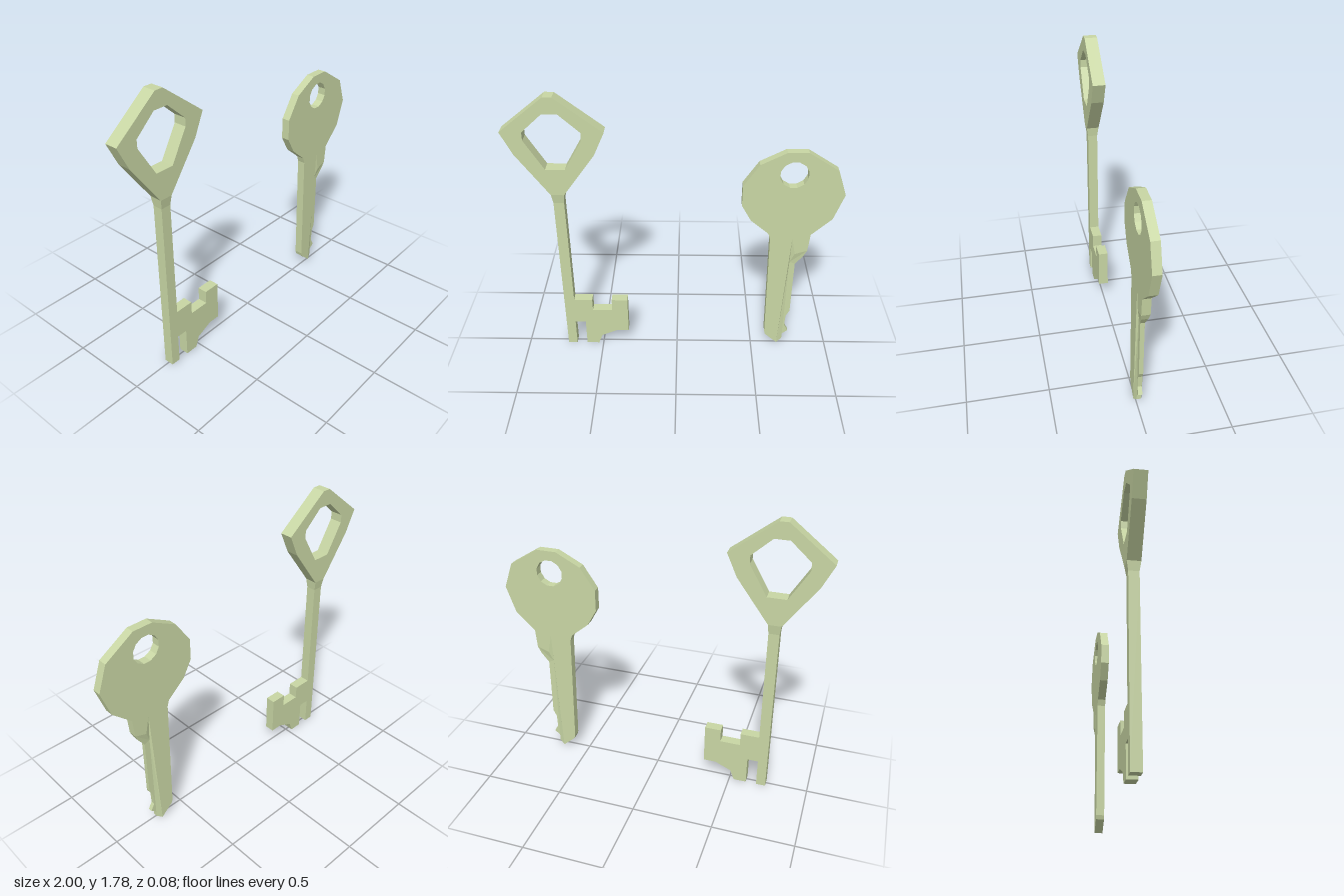
import * as THREE from 'three';

const material = new THREE.MeshStandardMaterial({ color: 0xc8d6a4, flatShading: true });

// Solid plate from adjoining patches of [x, y, t]; t blends from the thick to the thin
// [front, back] z values. Edges shared by two patches get no wall.
function plate(name, patches, thick, thin) {
  const positions = [];
  const edges = [];
  const at = ([x, y, t = 0], side) => [x, y, THREE.MathUtils.lerp(thick[side], thin[side], t)];
  const tri = (a, b, c) => positions.push(...a, ...b, ...c);
  const oriented = (pts, ccw) => {
    const area = THREE.ShapeUtils.area(pts.map(p => new THREE.Vector2(p[0], p[1])));
    return (area > 0) === ccw ? pts : [...pts].reverse();
  };
  for (const { outline, hole } of patches) {
    const loops = [oriented(outline, true)];
    if (hole) loops.push(oriented(hole, false));
    const flat = loops.map(l => l.map(p => new THREE.Vector2(p[0], p[1])));
    const all = loops.flat();
    for (const [a, b, c] of THREE.ShapeUtils.triangulateShape(flat[0], flat.slice(1))) {
      tri(at(all[a], 0), at(all[b], 0), at(all[c], 0));
      tri(at(all[a], 1), at(all[c], 1), at(all[b], 1));
    }
    for (const l of loops) l.forEach((p, i) => edges.push([p, l[(i + 1) % l.length]]));
  }
  const key = (p, q) => `${p[0]},${p[1]}>${q[0]},${q[1]}`;
  const known = new Set(edges.map(([p, q]) => key(p, q)));
  for (const [p, q] of edges) {
    if (known.has(key(q, p))) continue;
    tri(at(p, 0), at(p, 1), at(q, 1));
    tri(at(p, 0), at(q, 1), at(q, 0));
  }
  const geometry = new THREE.BufferGeometry();
  geometry.setAttribute('position', new THREE.Float32BufferAttribute(positions, 3));
  geometry.computeVertexNormals();
  const mesh = new THREE.Mesh(geometry, material);
  mesh.name = name;
  return mesh;
}

// Old-fashioned key: open diamond bow, tapering collar, slim shaft with a notched bit
function leverKey() {
  const bow = {
    outline: [[-0.735, 1.785], [-0.682, 1.785], [-0.41, 1.575], [-0.473, 1.435],
      [-0.667, 1.17], [-0.745, 1.17], [-0.933, 1.435], [-1, 1.575]],
    hole: [[-0.75, 1.685], [-0.66, 1.685], [-0.54, 1.575], [-0.54, 1.525],
      [-0.647, 1.34], [-0.762, 1.34], [-0.872, 1.525], [-0.872, 1.575]],
  };
  const collar = {
    outline: [[-0.745, 1.17, 0], [-0.667, 1.17, 0], [-0.673, 1.11, 1], [-0.737, 1.11, 1]],
  };
  const shaftAndBit = {
    outline: [[-0.737, 1.11], [-0.673, 1.11], [-0.673, 0.37], [-0.555, 0.37], [-0.555, 0.285],
      [-0.428, 0.285], [-0.428, 0.37], [-0.325, 0.37], [-0.325, 0.113], [-0.403, 0.113],
      [-0.505, 0.067], [-0.53, 0], [-0.61, 0], [-0.61, 0.183], [-0.678, 0.183],
      [-0.678, 0], [-0.737, 0]].map(([x, y]) => [x, y, 1]),
  };
  return plate('leverKey', [bow, collar, shaftAndBit], [0.04, -0.04], [0.031, -0.031]);
}

// Door key: round faceted bow, blade with a bevel down to a thin toothed edge
function doorKey() {
  const ringHole = Array.from({ length: 12 }, (_, i) => {
    const a = (i + 0.5) / 12 * Math.PI * 2;
    return [0.685 + 0.086 * Math.cos(a), 1.3 + 0.086 * Math.sin(a)];
  });
  const body = {
    outline: [[0.633, 1.445], [0.757, 1.445], [0.94, 1.33], [0.997, 1.168], [0.94, 1],
      [0.82, 0.885], [0.81, 0.765], [0.735, 0.74], [0.71, 0.86], [0.67, 0.86], [0.675, 0.003],
      [0.595, 0.075], [0.588, 0.1], [0.573, 0.85], [0.56, 0.89], [0.447, 0.985],
      [0.388, 1.09], [0.388, 1.225], [0.48, 1.365]],
    hole: ringHole,
  };
  const bevel = {
    outline: [[0.67, 0.86, 0], [0.71, 0.86, 0], [0.71, 0.67, 1], [0.71, 0.07, 1],
      [0.71, 0.03, 1], [0.675, 0.003, 0]],
  };
  const runOut = { outline: [[0.71, 0.86, 0], [0.735, 0.74, 0], [0.71, 0.67, 1]] };
  const shoulder = {
    outline: [[0.735, 0.74, 0], [0.81, 0.765, 0], [0.79, 0.72, 0.4], [0.745, 0.655, 1],
      [0.71, 0.67, 1]],
  };
  const teeth = {
    outline: [[0.71, 0.67], [0.745, 0.655], [0.745, 0.27], [0.723, 0.225], [0.72, 0.145],
      [0.745, 0.1], [0.71, 0.07]].map(([x, y]) => [x, y, 1]),
  };
  return plate('doorKey', [body, bevel, runOut, shoulder, teeth], [0.013, -0.039], [0, -0.026]);
}

export function createModel() {
  const group = new THREE.Group();
  group.name = 'keys';
  group.add(leverKey(), doorKey());
  return group;
}
